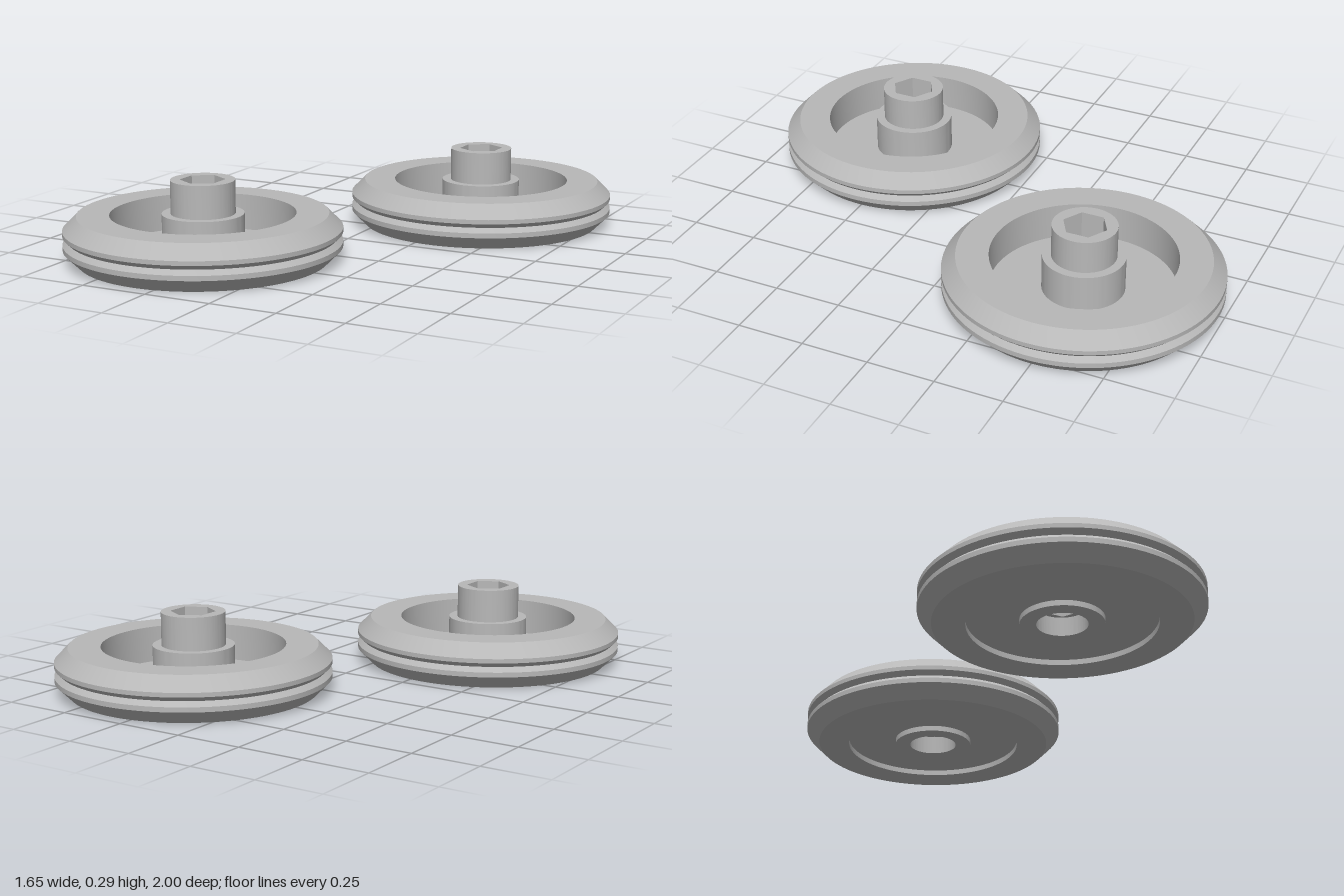
import * as THREE from 'three';
import { toCreasedNormals } from 'three/addons/utils/BufferGeometryUtils.js';

const RIM_TOP = 0.168, SHELF = 0.07, POST_TOP = 0.29;

// Wheel body: hub, thin web and a bevelled rim with a V groove
function bodyGeometry() {
  const profile = [
    [0.09, SHELF], [0.09, 0], [0.148, 0], [0.148, 0.02], [0.333, 0.02], [0.333, 0],
    [0.45, 0], [0.5, 0.05], [0.5, 0.068], [0.482, 0.085], [0.5, 0.102], [0.5, 0.118],
    [0.45, RIM_TOP], [0.333, RIM_TOP], [0.333, 0.035], [0.148, 0.035],
    [0.148, RIM_TOP], [0.115, RIM_TOP],
  ].map(([r, y]) => new THREE.Vector2(r, y));
  return toCreasedNormals(new THREE.LatheGeometry(profile, 96), 0.4);
}

// Round post with a hexagonal bore; its lower end closes the round bore of the hub
function postGeometry() {
  const shape = new THREE.Shape();
  shape.absarc(0, 0, 0.116, 0, Math.PI * 2, false);
  const corners = [];
  for (let i = 0; i < 6; i++) {
    const a = Math.PI / 2 - (i * Math.PI) / 3;
    corners.push(new THREE.Vector2(0.082 * Math.cos(a), 0.082 * Math.sin(a)));
  }
  shape.holes.push(new THREE.Path(corners));
  const geometry = new THREE.ExtrudeGeometry(shape, {
    depth: POST_TOP - SHELF, bevelEnabled: false, curveSegments: 64,
  });
  geometry.rotateX(-Math.PI / 2);
  geometry.translate(0, SHELF, 0);
  return toCreasedNormals(geometry, 0.4);
}

export function createModel() {
  const model = new THREE.Group();
  model.name = 'wheelPair';
  const grey = new THREE.MeshStandardMaterial({ color: 0xb8b8b8 });
  grey.name = 'plain grey';
  const body = bodyGeometry();
  const post = postGeometry();

  // Two identical wheels lying diagonally apart
  for (const [name, side] of [['backWheel', 1], ['frontWheel', -1]]) {
    const wheel = new THREE.Group();
    wheel.name = name;
    for (const [part, geometry] of [['wheelBody', body], ['hexPost', post]]) {
      const mesh = new THREE.Mesh(geometry, grey);
      mesh.name = part;
      wheel.add(mesh);
    }
    wheel.position.set(0.325 * side, 0, -0.5 * side);
    model.add(wheel);
  }
  return model;
}
